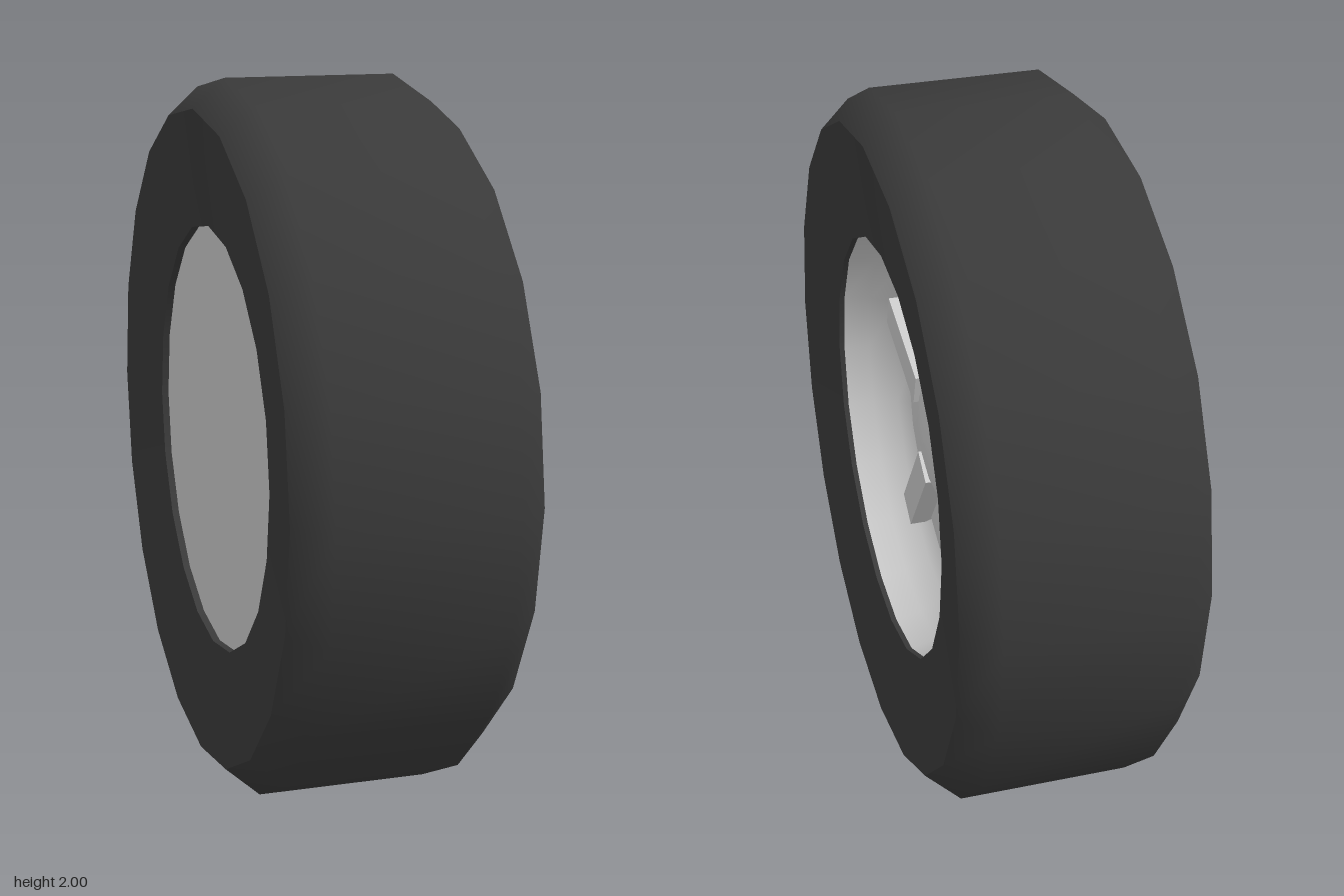
import * as THREE from 'three';

const rubber = new THREE.MeshStandardMaterial({ color: 0x3a3a3a });
const metal = new THREE.MeshStandardMaterial({ color: 0xcccccc });

// Lathe around the x axle; profile points are [radius, x]
function turned(name, profile, sides, material) {
  const points = profile.map(([r, x]) => new THREE.Vector2(r, x));
  const geometry = new THREE.LatheGeometry(points, sides);
  geometry.rotateZ(-Math.PI / 2);
  const mesh = new THREE.Mesh(geometry, material);
  mesh.name = name;
  return mesh;
}

export function createModel() {
  const wheel = new THREE.Group();
  wheel.name = 'wheel';
  wheel.position.y = 1;

  // Tyre: smooth tread with shoulders, slightly dished sidewalls, inner lips
  const tyre = new THREE.Group();
  tyre.name = 'tyre';
  tyre.add(
    turned('tread', [[0.92, -0.33], [1, -0.24], [1, 0.24], [0.92, 0.33]], 20, rubber),
    turned('outerSidewall', [[0.92, 0.33], [0.6, 0.29]], 20, rubber),
    turned('innerSidewall', [[0.6, -0.29], [0.92, -0.33]], 20, rubber),
    turned('tyreBore', [[0.6, 0.29], [0.6, -0.29]], 20, rubber)
  );
  wheel.add(tyre);

  // Rim: curved bowl open to +x, closed by a flat plate at the back
  wheel.add(
    turned('rimBowl', [[0.6, 0.275], [0.585, 0.2], [0.55, 0.13], [0.5, 0.08], [0.42, 0.05], [0, 0.05]], 20, metal),
    turned('backPlate', [[0, -0.27], [0.6, -0.27]], 20, metal)
  );

  // Hub: faceted disc with a low dome in the middle
  wheel.add(
    turned('hubDisc', [[0.51, 0.1], [0.25, 0.1], [0.21, 0.13], [0.15, 0.16], [0.08, 0.177], [0, 0.182]], 14, metal),
    turned('hubDiscEdge', [[0.51, 0.04], [0.51, 0.1]], 14, metal)
  );

  // Five short spokes
  const spokeGeometry = new THREE.BoxGeometry(0.1, 0.33, 0.1);
  spokeGeometry.translate(0.11, 0.36, 0);
  for (let i = 0; i < 5; i++) {
    const spoke = new THREE.Mesh(spokeGeometry, metal);
    spoke.name = 'spoke' + (i + 1);
    spoke.rotation.x = (i * Math.PI * 2) / 5;
    wheel.add(spoke);
  }

  const model = new THREE.Group();
  model.name = 'carWheel';
  model.add(wheel);
  return model;
}
